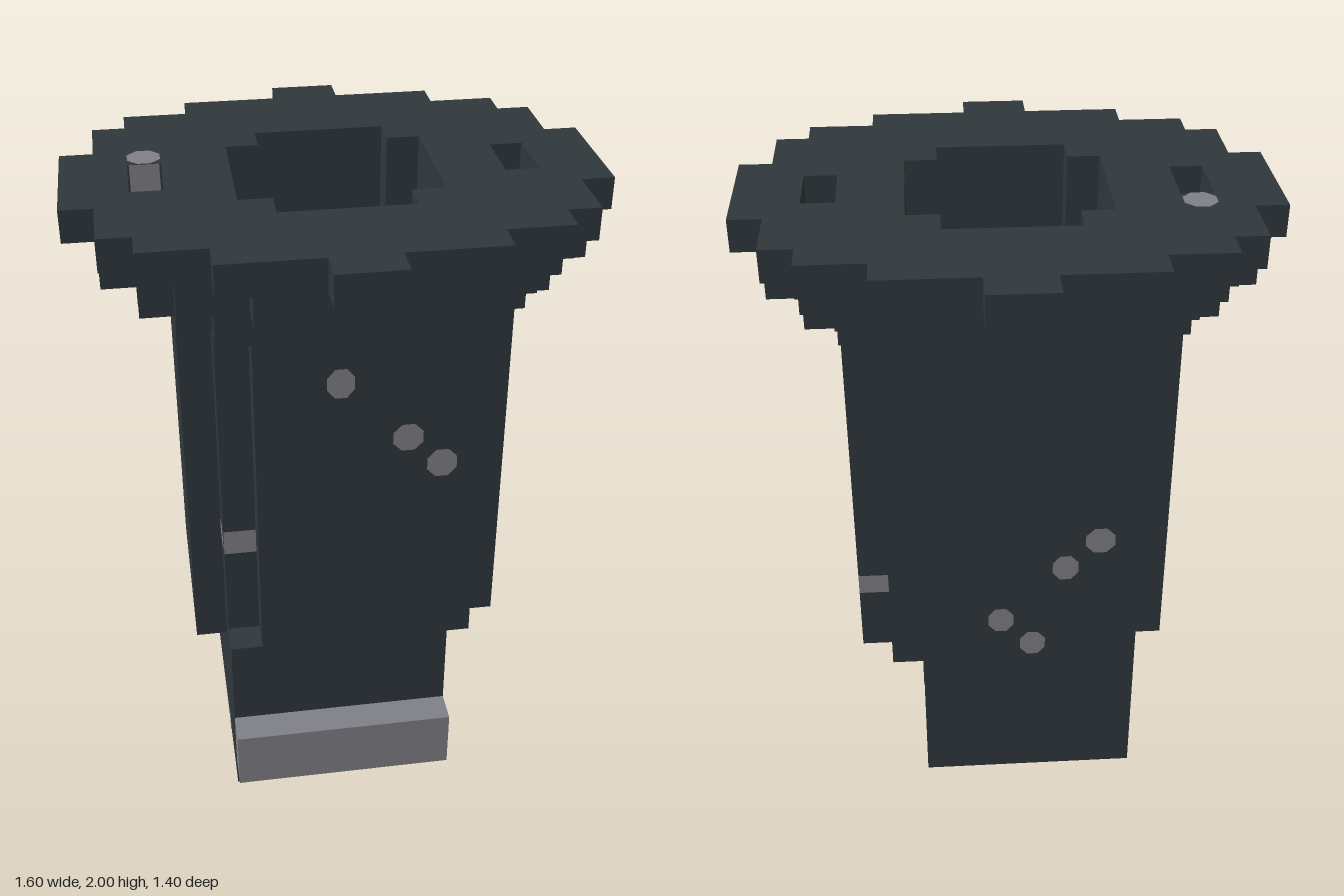
import * as THREE from 'three';

const dark = new THREE.MeshStandardMaterial({ color: 0x2f373c });
dark.name = 'dark slate';
const grey = new THREE.MeshStandardMaterial({ color: 0x7f8087 });
grey.name = 'worn grey';

// Closed stepped outline, mirrored in both axes, from [halfWidth, halfDepth] steps, widest first
function steppedPoints(steps) {
  const quarter = [];
  let z = 0;
  steps.forEach(([w, d], i) => {
    if (i > 0) quarter.push([w, z]);
    quarter.push([w, d]);
    z = d;
  });
  const flipped = [...quarter].reverse();
  return [
    ...quarter,
    ...flipped.map(([x, y]) => [-x, y]),
    ...quarter.map(([x, y]) => [-x, -y]),
    ...flipped.map(([x, y]) => [x, -y]),
  ].map(([x, y]) => new THREE.Vector2(x, y));
}

const bore = [[0.3, 0.2], [0.2, 0.3]];

export function createModel() {
  const model = new THREE.Group();

  function add(name, geometry, material, x = 0, y = 0, z = 0) {
    const mesh = new THREE.Mesh(geometry, material);
    mesh.name = name;
    mesh.position.set(x, y, z);
    model.add(mesh);
    return mesh;
  }

  // Horizontal slab with the central bore and optional side slots
  function layer(name, steps, y0, y1, slots = false) {
    const shape = new THREE.Shape(steppedPoints(steps));
    shape.holes.push(new THREE.Path(steppedPoints(bore)));
    if (slots) {
      for (const s of [-0.55, 0.55]) {
        shape.holes.push(new THREE.Path(
          [[-0.05, -0.1], [0.05, -0.1], [0.05, 0.1], [-0.05, 0.1]]
            .map(([x, y]) => new THREE.Vector2(x + s, y))));
      }
    }
    const geometry = new THREE.ExtrudeGeometry(shape, { depth: y1 - y0, bevelEnabled: false });
    geometry.rotateX(-Math.PI / 2);
    add(name, geometry, dark, 0, y0, 0);
  }

  // Flared rim in three stepped layers above the hollow column
  layer('column', [[0.5, 0.3], [0.4, 0.4], [0.3, 0.5]], 0.5, 1.7);
  layer('lowerCollar', [[0.7, 0.1], [0.6, 0.3], [0.5, 0.4], [0.4, 0.5]], 1.7, 1.8);
  layer('upperCollar', [[0.7, 0.3], [0.6, 0.4], [0.5, 0.5], [0.3, 0.6]], 1.8, 1.9);
  layer('rim', [[0.8, 0.2], [0.7, 0.4], [0.6, 0.5], [0.4, 0.6], [0.1, 0.7]], 1.9, 2, true);

  // Offset foot, its corner block and the front bar
  add('foot', new THREE.BoxGeometry(0.7, 0.5, 0.9), dark, -0.05, 0.25, 0.05);
  add('footCorner', new THREE.BoxGeometry(0.1, 0.1, 0.1), dark, -0.35, 0.55, 0.45);
  add('frontBar', new THREE.BoxGeometry(0.7, 0.2, 0.1), grey, -0.05, 0.2, 0.55);

  // Flat speck lying just off a face; round ones are octagons, others rectangles
  const turn = {
    '+z': [0, 0], '-z': [0, Math.PI], '+x': [0, Math.PI / 2],
    '-x': [0, -Math.PI / 2], '+y': [-Math.PI / 2, 0],
  };
  function speck(face, x, y, z, w, h, round = true) {
    let geometry;
    if (round) {
      geometry = new THREE.CircleGeometry(0.5 / Math.cos(Math.PI / 8), 8);
      geometry.rotateZ(Math.PI / 8);
      geometry.scale(w, h, 1);
    } else {
      geometry = new THREE.PlaneGeometry(w, h);
    }
    const mesh = add('wearSpeck', geometry, grey, x, y, z);
    mesh.rotation.set(turn[face][0], turn[face][1], 0);
    mesh.translateZ(0.002);
  }

  // Front specks, one wrapping onto the side
  speck('+z', -0.05, 1.555, 0.5, 0.08, 0.095);
  speck('+z', 0.15, 1.355, 0.5, 0.09, 0.09);
  speck('+z', 0.255, 1.255, 0.5, 0.09, 0.095);
  speck('+x', 0.3, 1.255, 0.45, 0.1, 0.07, false);
  speck('+z', -0.35, 0.95, 0.4, 0.1, 0.085, false);
  speck('-x', -0.4, 0.95, 0.35, 0.1, 0.085);

  // Back specks, one wrapping onto the side
  speck('-z', 0.05, 0.75, -0.5, 0.08, 0.09);
  speck('-z', -0.05, 0.65, -0.5, 0.08, 0.09);
  speck('-z', -0.15, 0.95, -0.5, 0.08, 0.09);
  speck('-z', -0.255, 1.05, -0.5, 0.09, 0.09);
  speck('-x', -0.3, 1.05, -0.45, 0.1, 0.07, false);

  // Side specks
  speck('+x', 0.5, 0.755, -0.26, 0.08, 0.07);
  speck('-z', 0.45, 0.755, -0.3, 0.1, 0.07, false);
  speck('+x', 0.3, 0.46, -0.15, 0.06, 0.08, false);
  speck('-x', -0.4, 0.05, 0.25, 0.06, 0.08);

  // Rim speck folding down into the slot
  speck('+y', -0.55, 2, -0.15, 0.098, 0.1);
  speck('+z', -0.55, 1.95, -0.1, 0.09, 0.1, false);

  return model;
}
